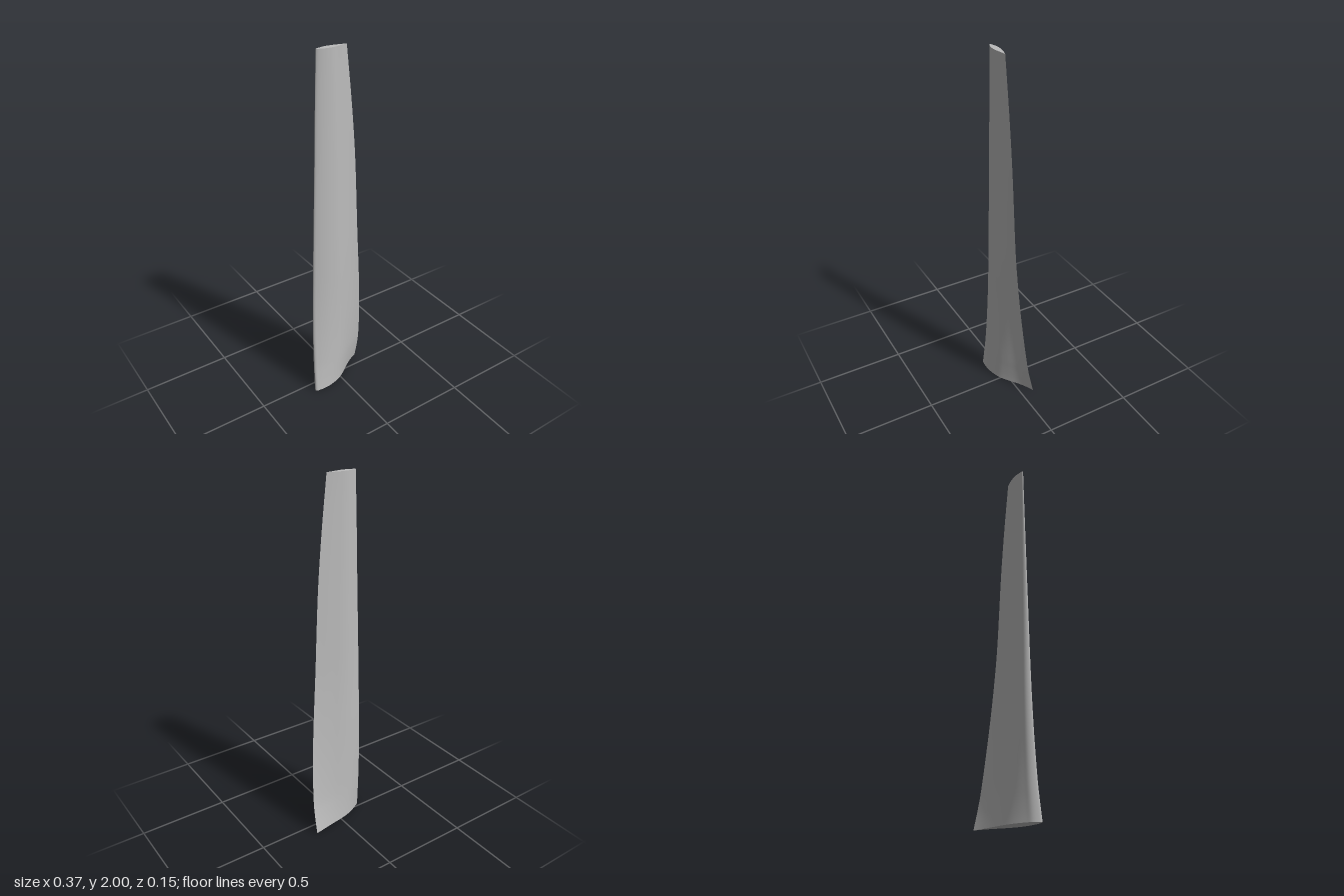
import * as THREE from 'three';

// Edge rails of the blade, from root to tip
const HEIGHTS = [0, 0.1, 0.2, 0.4, 0.6, 0.8, 1, 1.4, 1.7, 2];
const LEAD_X = [-0.187, -0.184, -0.181, -0.176, -0.17, -0.163, -0.157, -0.144, -0.135, -0.125];
const LEAD_Z = [0.06, 0.049, 0.04, 0.029, 0.023, 0.021, 0.02, 0.019, 0.018, 0.018];
const TRAIL_X = [0.187, 0.186, 0.183, 0.171, 0.155, 0.138, 0.123, 0.1, 0.073, 0.038];
const TRAIL_Z = [-0.073, -0.051, -0.034, -0.013, 0.002, 0.012, 0.018, 0.023, 0.026, 0.029];

// Aerofoil offsets from the chord, at fractions measured from the leading edge
const CHORD = [0, 0.02, 0.06, 0.125, 0.23, 0.34, 0.47, 0.61, 0.77, 0.88, 1];
const ROOT_BACK = [0, -0.018, -0.032, -0.038, -0.044, -0.045, -0.039, -0.028, -0.016, -0.008, 0];
const ROOT_FRONT = [0, 0.01, 0.018, 0.029, 0.042, 0.049, 0.05, 0.037, 0.015, 0.005, 0];
const TIP_BACK = [0, -0.003, -0.005, -0.008, -0.012, -0.015, -0.0155, -0.013, -0.009, -0.005, 0];
const TIP_FRONT = [0, 0.004, 0.008, 0.012, 0.016, 0.018, 0.018, 0.014, 0.009, 0.005, 0];

const ROWS = 54;
const SIDES = 80;

function rail(xs, zs) {
  const points = HEIGHTS.map((y, i) => new THREE.Vector3(xs[i], y, zs[i]));
  return new THREE.CatmullRomCurve3(points, false, 'catmullrom', 0.5);
}

// One section: trailing edge, over the back to the leading edge, and back along the front
function section(lead, trail) {
  const blend = Math.pow(Math.max(lead.y, 0) / 2, 0.8);
  const place = (i, root, tip) => {
    const p = lead.clone().lerp(trail, CHORD[i]);
    p.z += THREE.MathUtils.lerp(root[i], tip[i], blend);
    return p;
  };
  const last = CHORD.length - 1;
  const points = [];
  for (let i = last; i >= 0; i--) points.push(place(i, ROOT_BACK, TIP_BACK));
  for (let i = 1; i <= last; i++) points.push(place(i, ROOT_FRONT, TIP_FRONT));
  return new THREE.CatmullRomCurve3(points).getPoints(SIDES);
}

function geometryFrom(points, index) {
  const geometry = new THREE.BufferGeometry().setFromPoints(points);
  geometry.setIndex(index);
  geometry.computeVertexNormals();
  return geometry;
}

// Skin lofted through the sections, left open at the sharp trailing edge
function skinGeometry(sections) {
  const index = [];
  const width = SIDES + 1;
  for (let j = 0; j < sections.length - 1; j++) {
    for (let i = 0; i < SIDES; i++) {
      const a = j * width + i;
      index.push(a, a + 1, a + width + 1, a, a + width + 1, a + width);
    }
  }
  return geometryFrom(sections.flat(), index);
}

// Flat end: strips joining the back of a section to its front
function capGeometry(points, facesUp) {
  const index = [];
  for (let i = 0; i < SIDES / 2; i++) {
    const a = i, b = i + 1, c = SIDES - i - 1, d = SIDES - i;
    if (facesUp) index.push(a, b, c, a, c, d);
    else index.push(a, c, b, a, d, c);
  }
  return geometryFrom(points, index);
}

export function createModel() {
  const group = new THREE.Group();
  group.name = 'turbineBlade';
  const grey = new THREE.MeshStandardMaterial({ color: 0xbcbcbc });
  grey.name = 'bladeGrey';

  const leadRail = rail(LEAD_X, LEAD_Z);
  const trailRail = rail(TRAIL_X, TRAIL_Z);
  const sections = [];
  for (let j = 0; j <= ROWS; j++) {
    sections.push(section(leadRail.getPoint(j / ROWS), trailRail.getPoint(j / ROWS)));
  }

  const add = (name, geometry) => {
    const mesh = new THREE.Mesh(geometry, grey);
    mesh.name = name;
    group.add(mesh);
  };
  add('bladeSkin', skinGeometry(sections));
  add('rootCap', capGeometry(sections[0], false));
  add('tipCap', capGeometry(sections[ROWS], true));
  return group;
}
